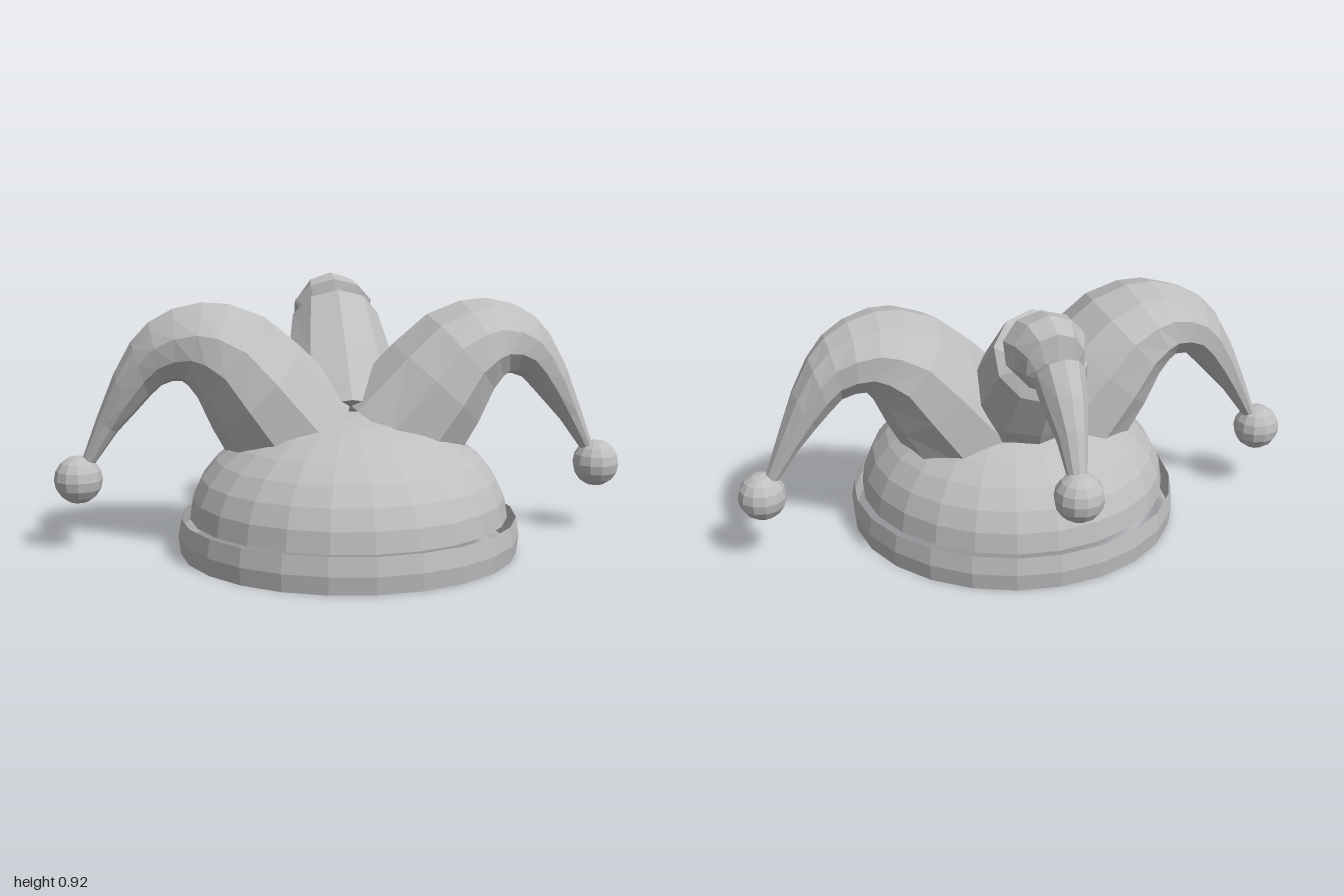
import * as THREE from 'three';

const SIDES = 10;

// Lofts a horn through rings. Each ring is [outerU, outerY, innerU, innerY, halfWidth, lateralCentre];
// place(u, y, w) puts the ring plane into the model.
function hornGeometry(rings, place, flip) {
  const pos = [], index = [];
  const face = (a, b, c) => (flip ? index.push(a, c, b) : index.push(a, b, c));
  for (const [ou, oy, iu, iy, half, centre] of rings) {
    for (let j = 0; j < SIDES; j++) {
      const t = (j / SIDES) * Math.PI * 2, c = Math.cos(t) / 2;
      pos.push(...place((ou + iu) / 2 + c * (ou - iu), (oy + iy) / 2 + c * (oy - iy), centre + Math.sin(t) * half));
    }
  }
  for (let i = 0; i < rings.length - 1; i++) {
    for (let j = 0; j < SIDES; j++) {
      const a = i * SIDES + j, b = i * SIDES + ((j + 1) % SIDES);
      face(a, b, a + SIDES);
      face(b, b + SIDES, a + SIDES);
    }
  }
  // end caps
  const last = (rings.length - 1) * SIDES;
  for (let j = 1; j < SIDES - 1; j++) {
    face(0, j + 1, j);
    face(last, last + j, last + j + 1);
  }
  const geo = new THREE.BufferGeometry();
  geo.setAttribute('position', new THREE.Float32BufferAttribute(pos, 3));
  geo.setIndex(index);
  geo.computeVertexNormals();
  return geo;
}

const SIDE_HORN = [
  [-0.02, 0.52, 0.36, 0.24, 0.25, 0.07],
  [0.16, 0.70, 0.46, 0.42, 0.25, 0.07],
  [0.28, 0.80, 0.51, 0.53, 0.23, 0.065],
  [0.40, 0.845, 0.54, 0.57, 0.205, 0.06],
  [0.49, 0.852, 0.56, 0.585, 0.18, 0.055],
  [0.59, 0.83, 0.59, 0.585, 0.155, 0.045],
  [0.67, 0.785, 0.63, 0.57, 0.13, 0.04],
  [0.73, 0.72, 0.67, 0.53, 0.11, 0.03],
  [0.79, 0.61, 0.72, 0.475, 0.085, 0.025],
  [0.85, 0.46, 0.78, 0.41, 0.055, 0.015],
  [0.905, 0.31, 0.86, 0.30, 0.028, 0.01],
];

// u runs towards the back; the pinched rings make the crumpled folds
const BACK_HORN = [
  [-0.20, 0.53, 0.13, 0.29, 0.21, 0],
  [-0.05, 0.70, 0.23, 0.45, 0.20, 0],
  [0.12, 0.87, 0.316, 0.613, 0.16, 0],
  [0.20, 0.80, 0.31, 0.68, 0.11, 0],
  [0.21, 0.90, 0.315, 0.675, 0.145, 0],
  [0.30, 0.917, 0.33, 0.66, 0.125, 0],
  [0.39, 0.887, 0.345, 0.67, 0.10, 0],
  [0.395, 0.80, 0.355, 0.70, 0.07, 0],
  [0.46, 0.83, 0.36, 0.675, 0.085, 0],
  [0.53, 0.74, 0.43, 0.60, 0.07, 0],
  [0.58, 0.64, 0.51, 0.55, 0.05, 0],
  [0.63, 0.48, 0.58, 0.46, 0.03, 0],
];

export function createModel() {
  const hat = new THREE.Group();
  hat.name = 'jesterHat';
  const grey = new THREE.MeshStandardMaterial({ color: 0xbfbfbf, flatShading: true, side: THREE.DoubleSide });
  grey.name = 'grey';

  const add = (name, geometry, x = 0, y = 0, z = 0) => {
    const mesh = new THREE.Mesh(geometry, grey);
    mesh.name = name;
    mesh.position.set(x, y, z);
    hat.add(mesh);
  };

  // open dome
  const dome = [];
  for (let i = 0; i <= 8; i++) {
    const t = (i / 8) * Math.PI / 2;
    dome.push(new THREE.Vector2(i === 8 ? 0 : 0.545 * Math.cos(t), 0.12 + 0.36 * Math.sin(t)));
  }
  add('dome', new THREE.LatheGeometry(dome, 24), 0, 0, 0.115);

  // loose band around the rim
  const band = [[0.578, 0], [0.585, 0.06], [0.575, 0.122]].map(([r, y]) => new THREE.Vector2(r, y));
  add('brimBand', new THREE.LatheGeometry(band, 24), 0, 0, 0.115);

  // three horns, each with a bell on its tip
  const bell = new THREE.SphereGeometry(0.083, 12, 8);
  for (const [side, s] of [['left', 1], ['right', -1]]) {
    add(side + 'Horn', hornGeometry(SIDE_HORN, (u, y, w) => [s * u, y, w], s < 0));
    add(side + 'Bell', bell, s * 0.917, 0.247, 0.01);
  }
  add('backHorn', hornGeometry(BACK_HORN, (u, y, w) => [w, y, -u], false));
  add('backBell', bell, 0, 0.425, -0.62);

  return hat;
}
